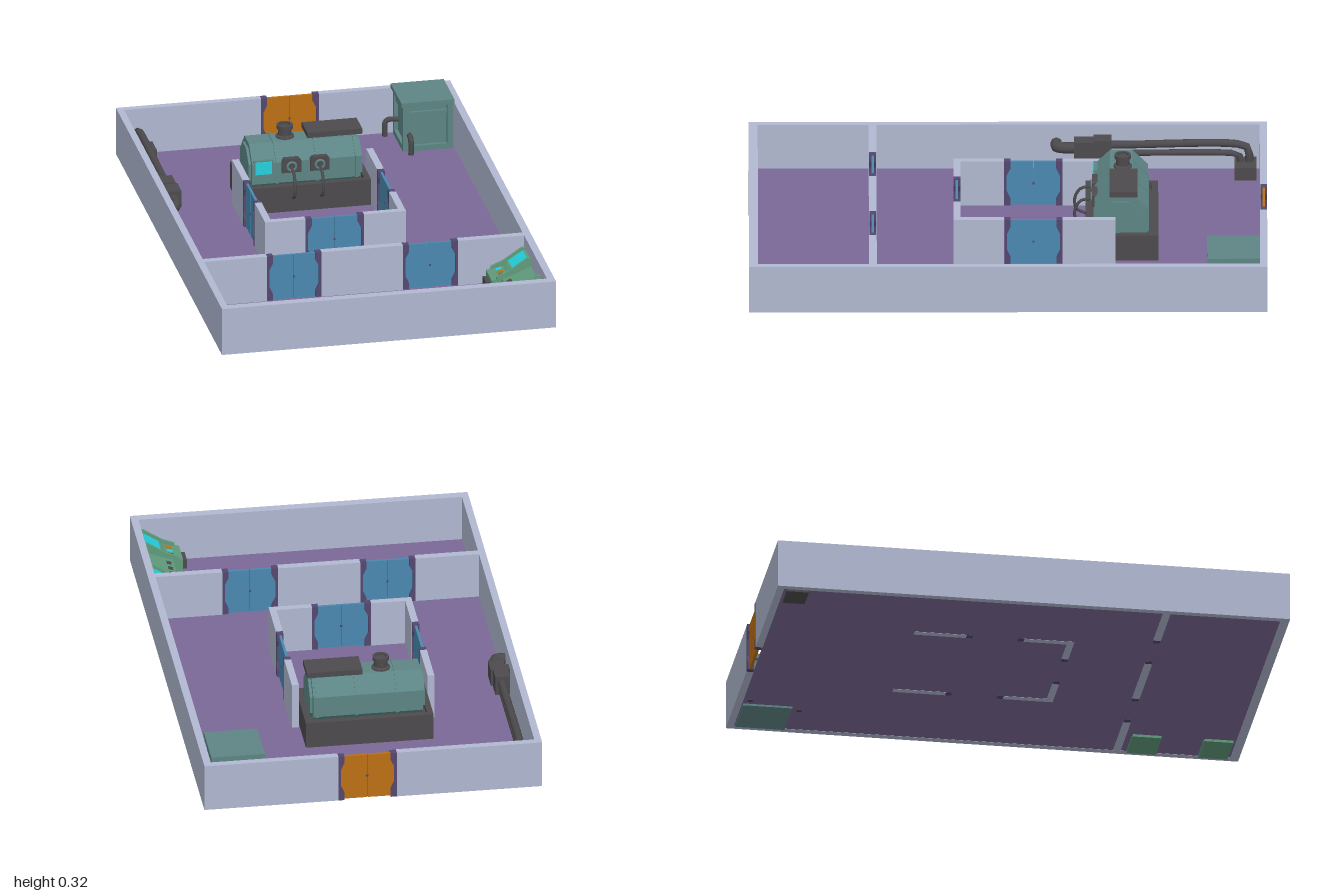
import * as THREE from 'three';

const material = (name, color) => {
  const m = new THREE.MeshStandardMaterial({ color });
  m.name = name;
  return m;
};

export function createModel() {
  const root = new THREE.Group();
  root.name = 'machineRoom';
  const wallMat = material('pale wall', 0xb0b8d0);
  const floorMat = material('purple floor', 0x7a6896);
  const darkMat = material('dark metal', 0x4c4a4c);
  const tealMat = material('teal metal', 0x5d8584);
  const greenMat = material('console green', 0x5f9a7b);
  const cyanMat = material('cyan screen', 0x25d0dc);
  const blueMat = material('blue door', 0x4a88b0);
  const orangeMat = material('orange door', 0xbd6f14);
  const jambMat = material('door jamb', 0x54476e);

  const add = (name, geo, mat, parent = root) => {
    const mesh = new THREE.Mesh(geo, mat);
    mesh.name = name;
    parent.add(mesh);
    return mesh;
  };
  const group = (name) => {
    const g = new THREE.Group();
    g.name = name;
    root.add(g);
    return g;
  };
  // Box given by its limits
  const box = (name, mat, x0, x1, y0, y1, z0, z1, parent = root) => {
    const mesh = add(name, new THREE.BoxGeometry(x1 - x0, y1 - y0, z1 - z0), mat, parent);
    mesh.position.set((x0 + x1) / 2, (y0 + y1) / 2, (z0 + z1) / 2);
    return mesh;
  };
  const shape = (pts) => new THREE.Shape(pts.map((p) => new THREE.Vector2(...p)));
  const extrude = (pts, depth) =>
    new THREE.ExtrudeGeometry(shape(pts), { depth, bevelEnabled: false }).translate(0, 0, -depth / 2);
  const tube = (name, pts, r, parent, mat = darkMat) => {
    const path = new THREE.CatmullRomCurve3(pts.map((p) => new THREE.Vector3(...p)), false, 'centripetal');
    add(name, new THREE.TubeGeometry(path, 16, r, 8), mat, parent);
    // closed ends
    [0, 1].forEach((t) => {
      const cap = add(name + 'End', new THREE.CircleGeometry(r, 8), mat, parent);
      const p = path.getPointAt(t);
      cap.position.copy(p);
      cap.lookAt(p.clone().addScaledVector(path.getTangentAt(t), t ? 1 : -1));
    });
  };

  // Floor and walls: [x0, x1, z0, z1]
  const Y0 = 0.012, Y1 = 0.205;
  box('floor', floorMat, -0.633, 0.628, 0.013, 0.018, -0.972, 0.965);
  const walls = group('walls');
  [
    [-0.66, -0.633, -1, 1], [0.628, 0.657, -1, 1], [-0.633, 0.628, 0.965, 1],
    [-0.633, -0.093, -1, -0.972], [0.135, 0.628, -1, -0.972],
    [-0.633, -0.385, 0.507, 0.537], [-0.17, 0.15, 0.507, 0.537], [0.368, 0.628, 0.507, 0.537],
    [-0.325, -0.298, -0.415, -0.21], [-0.325, -0.298, 0.015, 0.21],
    [0.204, 0.231, -0.415, -0.21], [0.204, 0.231, 0.015, 0.21],
    [-0.298, -0.165, 0.183, 0.21], [0.065, 0.204, 0.183, 0.21],
  ].forEach(([a, b, c, d]) => box('wall', wallMat, a, b, Y0, Y1, c, d, walls));

  // Doors: two leaves between jambs that are waisted in the middle
  function door(name, x, z, w, turn, mat) {
    const g = group(name);
    g.position.set(x, 0, z);
    g.rotation.y = turn;
    const h = w / 2;
    [-1, 1].forEach((s) => {
      const jamb = extrude([[-h, Y0], [-h + 0.024, Y0], [-h + 0.024, 0.045], [-h + 0.01, 0.075],
        [-h + 0.01, 0.145], [-h + 0.024, 0.175], [-h + 0.024, Y1], [-h, Y1]], 0.026);
      if (s > 0) jamb.rotateY(Math.PI);
      add('doorJamb', jamb, jambMat, g);
      box('doorLeaf', mat, Math.min(s * 0.0008, s * (h - 0.008)), Math.max(s * 0.0008, s * (h - 0.008)),
        Y0 + 0.002, Y1 - 0.004, -0.005, 0.005, g);
    });
    box('doorLatch', jambMat, -0.004, 0.004, 0.105, 0.113, -0.007, 0.007, g);
  }
  door('backDoor', 0.021, -0.987, 0.228, 0, orangeMat);
  door('partitionDoorRight', -0.278, 0.522, 0.215, 0, blueMat);
  door('partitionDoorLeft', 0.259, 0.522, 0.218, 0, blueMat);
  door('innerDoorFront', -0.05, 0.197, 0.23, 0, blueMat);
  door('innerDoorRight', -0.312, -0.098, 0.225, Math.PI / 2, blueMat);
  door('innerDoorLeft', 0.217, -0.098, 0.225, Math.PI / 2, blueMat);

  // Boiler on a dark tray
  const boiler = group('boiler');
  box('trayBottom', darkMat, -0.298, 0.2, 0.018, 0.105, -0.58, -0.3, boiler);
  [[-0.298, -0.275, -0.58, -0.3], [0.177, 0.2, -0.58, -0.3], [-0.275, 0.177, -0.58, -0.555],
    [-0.275, 0.177, -0.325, -0.3]].forEach(([a, b, c, d]) => box('trayRim', darkMat, a, b, 0.105, 0.125, c, d, boiler));
  const octagon = (name, x0, x1, apothem) => {
    const r = apothem / Math.cos(Math.PI / 8);
    let geo = new THREE.CylinderGeometry(r, r, x1 - x0, 8).rotateY(Math.PI / 8).rotateZ(Math.PI / 2).toNonIndexed();
    geo.computeVertexNormals();
    add(name, geo, tealMat, boiler).position.set((x0 + x1) / 2, 0.17, -0.437);
  };
  octagon('tank', -0.262, 0.165, 0.103);
  octagon('tankEnds', -0.272, 0.176, 0.083);
  [-0.163, -0.005, 0.15].forEach((x) => octagon('tankBand', x - 0.006, x + 0.006, 0.107));
  const stack = add('chimney', new THREE.LatheGeometry([[0, 0.26], [0.036, 0.26], [0.036, 0.278], [0.026, 0.283],
    [0.026, 0.306], [0.032, 0.309], [0.032, 0.324], [0.022, 0.324], [0.022, 0.316], [0, 0.316]]
    .map((p) => new THREE.Vector2(...p)), 16).toNonIndexed(), darkMat, boiler);
  stack.geometry.computeVertexNormals();
  stack.position.set(-0.111, 0, -0.443);
  box('topSlab', darkMat, -0.032, 0.184, 0.279, 0.301, -0.5, -0.392, boiler);
  box('slabFoot', darkMat, 0.0, 0.15, 0.27, 0.279, -0.465, -0.412, boiler);
  box('screenFrame', tealMat, -0.257, -0.178, 0.163, 0.226, -0.345, -0.33, boiler);
  box('screen', cyanMat, -0.25, -0.185, 0.17, 0.221, -0.333, -0.326, boiler);
  // Valves with curved hoses
  [-0.108, 0.003].forEach((x) => {
    const plate = extrude([[-0.038, 0.17], [0.038, 0.17], [0.038, 0.218], [0.028, 0.228], [-0.028, 0.228], [-0.038, 0.218]], 0.022);
    add('valvePlate', plate, darkMat, boiler).position.set(x, 0, -0.335);
    const ring = add('valveRing', new THREE.TorusGeometry(0.017, 0.005, 6, 14), tealMat, boiler);
    ring.position.set(x, 0.196, -0.323);
    tube('hose', [[x, 0.19, -0.325], [x, 0.18, -0.28], [x, 0.14, -0.258], [x, 0.095, -0.265], [x, 0.075, -0.302]], 0.006, boiler);
  });

  // Cabinet in the back corner
  const cabinet = group('cabinet');
  box('cabinetTop', tealMat, 0.417, 0.626, 0.207, 0.225, -0.971, -0.768, cabinet);
  box('cabinetBase', tealMat, 0.425, 0.624, 0.005, 0.04, -0.968, -0.776, cabinet);
  box('cabinetCore', tealMat, 0.44, 0.618, 0.04, 0.207, -0.962, -0.79, cabinet);
  [0.425, 0.6].forEach((x) => [-0.968, -0.8].forEach((z) =>
    box('cabinetPost', tealMat, x, x + 0.024, 0.04, 0.207, z, z + 0.024, cabinet)));
  box('cabinetBandSide', tealMat, 0.43, 0.44, 0.165, 0.18, -0.944, -0.8, cabinet);
  box('cabinetBandFront', tealMat, 0.449, 0.6, 0.165, 0.18, -0.79, -0.78, cabinet);
  tube('cabinetPipeSide', [[0.44, 0.085, -0.945], [0.4, 0.085, -0.945], [0.39, 0.075, -0.945], [0.389, 0.008, -0.945]], 0.011, cabinet);
  tube('cabinetPipeFront', [[0.45, 0.085, -0.785], [0.45, 0.085, -0.758], [0.45, 0.075, -0.746], [0.45, 0.008, -0.745]], 0.011, cabinet);

  // Duct along the right wall
  const duct = group('wallDuct');
  box('ductFoot', darkMat, -0.632, -0.525, 0.004, 0.07, -0.96, -0.875, duct);
  tube('ductRiser', [[-0.59, 0.06, -0.93], [-0.59, 0.12, -0.93], [-0.59, 0.138, -0.91], [-0.59, 0.14, -0.4]], 0.016, duct);
  tube('ductLowerPipe', [[-0.59, 0.06, -0.9], [-0.59, 0.1, -0.89], [-0.59, 0.105, -0.86], [-0.59, 0.105, -0.38]], 0.013, duct);
  box('ductBox', darkMat, -0.622, -0.565, 0.09, 0.168, -0.4, -0.33, duct);
  box('ductCollar', darkMat, -0.617, -0.557, 0.095, 0.162, -0.335, -0.255, duct);
  box('ductBracket', darkMat, -0.634, -0.61, 0.1, 0.155, -0.32, -0.28, duct);
  tube('ductElbow', [[-0.588, 0.128, -0.26], [-0.588, 0.128, -0.215], [-0.6, 0.128, -0.19], [-0.634, 0.128, -0.187]], 0.023, duct);

  // Control consoles in the front corner
  const consoles = group('controlConsoles');
  const slope = Math.atan2(0.045, 0.07);
  const profile = [[0.472, 0.003], [0.626, 0.003], [0.626, 0.158], [0.619, 0.158], [0.549, 0.113], [0.535, 0.1], [0.472, 0.085]];
  const onSlope = (name, mat, x, z, lx, lz) => {
    const p = add(name, new THREE.BoxGeometry(lx, 0.006, lz), mat, consoles);
    p.position.set(x, 0.1355 + (x - 0.584) * 0.643 + 0.002, z);
    p.rotation.z = slope;
  };
  [0.617, 0.897].forEach((z, i) => {
    add('consoleBody', extrude(profile, 0.112), greenMat, consoles).position.z = z;
    [-0.053, 0.053].forEach((dz) => add('consoleCheek', extrude([[0.49, 0.01], [0.627, 0.01], [0.627, 0.168],
      [0.612, 0.168], [0.54, 0.12], [0.49, 0.1]], 0.012), greenMat, consoles).position.z = z + dz);
    box('consoleSeat', darkMat, 0.454, 0.474, 0.03, 0.07, z - 0.03, z + 0.03, consoles);
    for (let k = 0; k < 4; k++) onSlope('consoleScreen', cyanMat, 0.587, z - 0.033 + k * 0.021, 0.07, 0.018);
    // Key rows on the lower desk
    [-0.028, 0, 0.028].forEach((dz, k) => {
      const key = box('consoleKey', [cyanMat, orangeMat, darkMat][(k + i * 2) % 3], 0.505, 0.528, 0.0935, 0.0985, z + dz - 0.008, z + dz + 0.008, consoles);
      key.rotation.z = 0.23;
    });
  });
  add('consoleDesk', extrude([[0.512, 0.018], [0.626, 0.018], [0.626, 0.135], [0.556, 0.105], [0.512, 0.09]], 0.17), greenMat, consoles).position.z = 0.757;
  [0.715, 0.757, 0.8].forEach((z) => {
    const key = box('deskKey', darkMat, 0.524, 0.542, 0.096, 0.101, z - 0.009, z + 0.009, consoles);
    key.rotation.z = 0.33;
  });

  return root;
}
